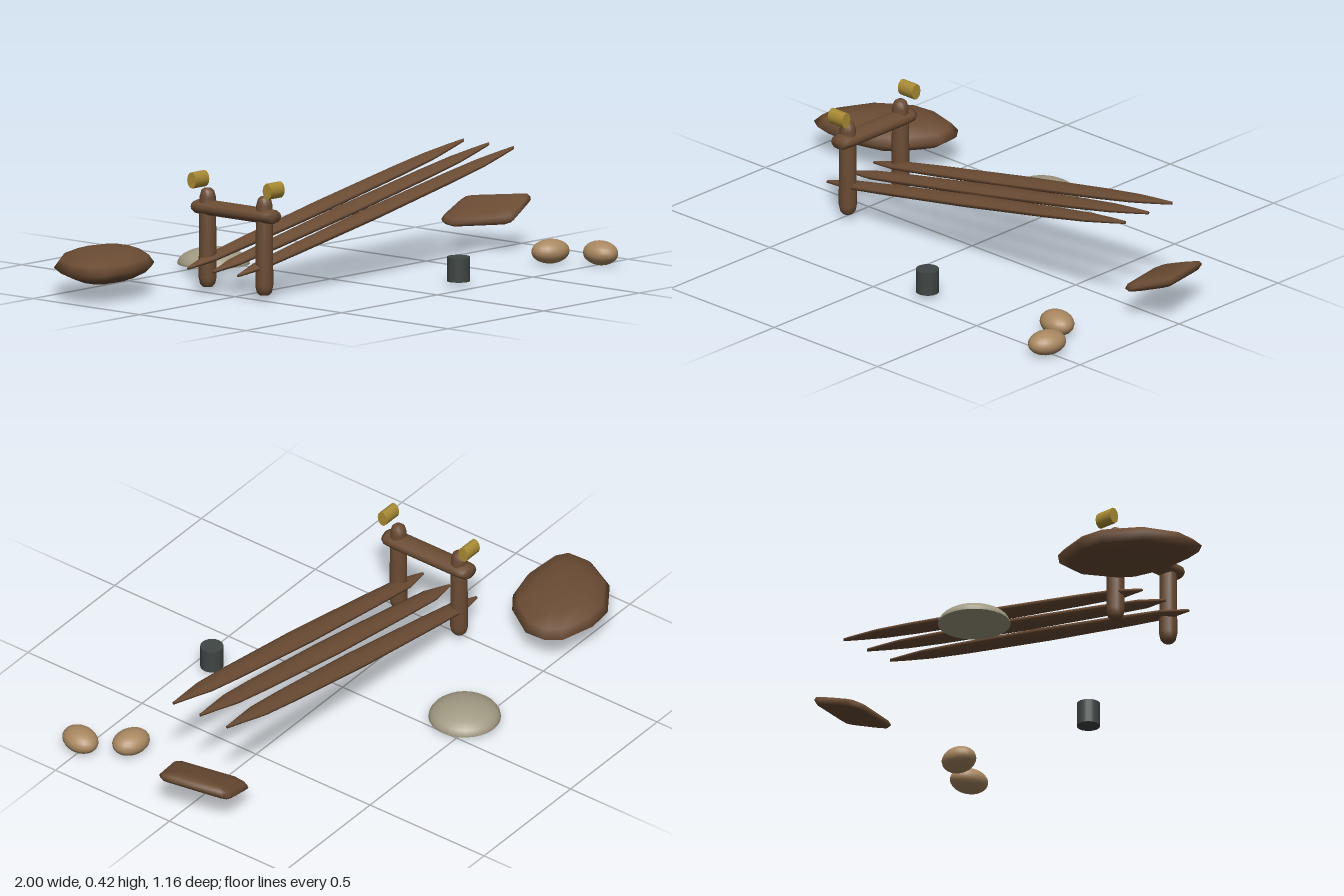
import * as THREE from 'three';

const mat = (name, color) => {
  const m = new THREE.MeshStandardMaterial({ color });
  m.name = name;
  return m;
};

// Skin over closed rings (counter-clockwise around the axis of travel), capped at both ends
function loft(rings) {
  const n = rings[0].length, pos = [], idx = [];
  rings.forEach(r => r.forEach(p => pos.push(...p)));
  for (let i = 0; i < rings.length - 1; i++) {
    for (let j = 0; j < n; j++) {
      const a = i * n + j, b = i * n + (j + 1) % n;
      idx.push(a, b, b + n, a, b + n, a + n);
    }
  }
  const last = (rings.length - 1) * n;
  for (let j = 1; j < n - 1; j++) {
    idx.push(0, j + 1, j, last, last + j, last + j + 1);
  }
  const g = new THREE.BufferGeometry();
  g.setAttribute('position', new THREE.Float32BufferAttribute(pos, 3));
  g.setIndex(idx);
  g.computeVertexNormals();
  return g;
}

// Pillow-shaped slab from a plan outline [x, z], levels [height, scale] and a tilt along x
function slab(outline, levels, tilt = 0) {
  const cx = outline.reduce((s, p) => s + p[0], 0) / outline.length;
  const cz = outline.reduce((s, p) => s + p[1], 0) / outline.length;
  return loft(levels.map(([y, s]) => outline.map(([x, z]) =>
    [cx + (x - cx) * s, y + tilt * (x - cx) * s, cz + (z - cz) * s])));
}

export function createModel() {
  const model = new THREE.Group();
  const wood = mat('brownWood', 0x6b4c34);
  const gold = mat('dullGold', 0xab8d35);
  const iron = mat('darkIron', 0x3f4644);
  const tan = mat('tanStone', 0xa98861);
  const pale = mat('paleStone', 0xa19a83);

  const add = (name, geo, material, x = 0, y = 0, z = 0) => {
    const m = new THREE.Mesh(geo, material);
    m.name = name;
    m.position.set(x, y, z);
    model.add(m);
    return m;
  };

  // Two posts with rounded ends, each with a gold cap just outside its top
  const px = -0.484, midZ = -0.01;
  const postProfile = [[0, 0.02], [0.018, 0.022], [0.027, 0.032], [0.032, 0.055], [0.031, 0.2],
    [0.029, 0.34], [0.023, 0.362], [0.014, 0.37], [0, 0.372]].map(p => new THREE.Vector2(...p));
  for (const s of [1, -1]) {
    add('post', new THREE.LatheGeometry(postProfile, 14), wood, px, 0, midZ + s * 0.133);
    const capGeo = new THREE.CylinderGeometry(0.029, 0.029, 0.07, 10).rotateZ(Math.PI / 2).scale(1, 1, 0.72);
    add('postCap', capGeo, gold, px, 0.396, midZ + s * 0.177);
  }

  // Crossbar joining the posts, wider than it is high
  const barProfile = [[0, -0.188], [0.03, -0.186], [0.038, -0.174], [0.041, -0.14], [0.041, 0.14],
    [0.038, 0.174], [0.03, 0.186], [0, 0.188]].map(p => new THREE.Vector2(...p));
  add('crossbar', new THREE.LatheGeometry(barProfile, 12).rotateX(Math.PI / 2).scale(1, 0.66, 1),
    wood, px, 0.302, midZ);

  // Three sloping poles with pointed ends: x, half width, half thickness
  const poleSections = [[-0.6, 0.005, 0.005], [-0.49, 0.033, 0.013], [-0.3, 0.039, 0.016],
    [0.1, 0.047, 0.018], [0.5, 0.041, 0.016], [0.66, 0.035, 0.013], [0.76, 0.018, 0.01], [0.84, 0.004, 0.006]];
  const poleGeo = loft(poleSections.map(([x, w, h]) => Array.from({ length: 10 }, (_, j) => {
    const a = j / 10 * Math.PI * 2;
    return [x, 0.215 + 0.189 * x + h * Math.cos(a), w * Math.sin(a)];
  })));
  for (const z of [-0.131, -0.013, 0.104]) add('pole', poleGeo, wood, 0, 0, z);

  // Large flat boulder
  const boulderOutline = [[-0.95, -0.21], [-0.8, -0.2], [-0.68, -0.23], [-0.61, -0.28], [-0.53, -0.4],
    [-0.535, -0.48], [-0.575, -0.53], [-0.7, -0.565], [-0.8, -0.555], [-0.93, -0.465], [-1, -0.33], [-0.995, -0.24]];
  add('boulder', slab(boulderOutline, [[0.05, 0.25], [0.062, 0.58], [0.085, 0.86], [0.108, 1],
    [0.135, 0.89], [0.157, 0.6], [0.166, 0.25]]), wood);

  // Small tilted slab
  const slabOutline = [[0.82, 0.085], [0.84, 0.1], [0.86, 0.098], [0.98, 0.06], [1, 0.04], [0.99, 0],
    [0.935, -0.18], [0.92, -0.2], [0.89, -0.2], [0.78, -0.18], [0.762, -0.16], [0.755, -0.11]];
  add('tiltedSlab', slab(slabOutline, [[0.106, 0.35], [0.109, 0.7], [0.118, 0.92], [0.131, 1],
    [0.145, 0.93], [0.155, 0.7], [0.158, 0.35]], 0.34), wood);

  // Pale dome with a flat underside
  const domeProfile = [[0, 0.02], [0.127, 0.02]].map(p => new THREE.Vector2(...p));
  add('domeBase', new THREE.LatheGeometry(domeProfile, 28), pale, -0.102, 0, -0.458);
  add('dome', new THREE.SphereGeometry(0.127, 28, 8, 0, Math.PI * 2, 0, Math.PI / 2).scale(1, 0.45, 1),
    pale, -0.102, 0.02, -0.458);

  // Dark upright cylinder
  add('ironCup', new THREE.CylinderGeometry(0.041, 0.041, 0.086, 20), iron, 0.193, 0.063, 0.427);

  // Two rounded stones
  const stoneGeo = new THREE.SphereGeometry(1, 20, 14).scale(0.072, 0.043, 0.056);
  add('roundStone', stoneGeo, tan, 0.752, 0.047, 0.357).rotation.y = -0.25;
  add('roundStone', stoneGeo, tan, 0.847, 0.046, 0.507).rotation.y = Math.PI / 2 - 0.2;

  return model;
}
